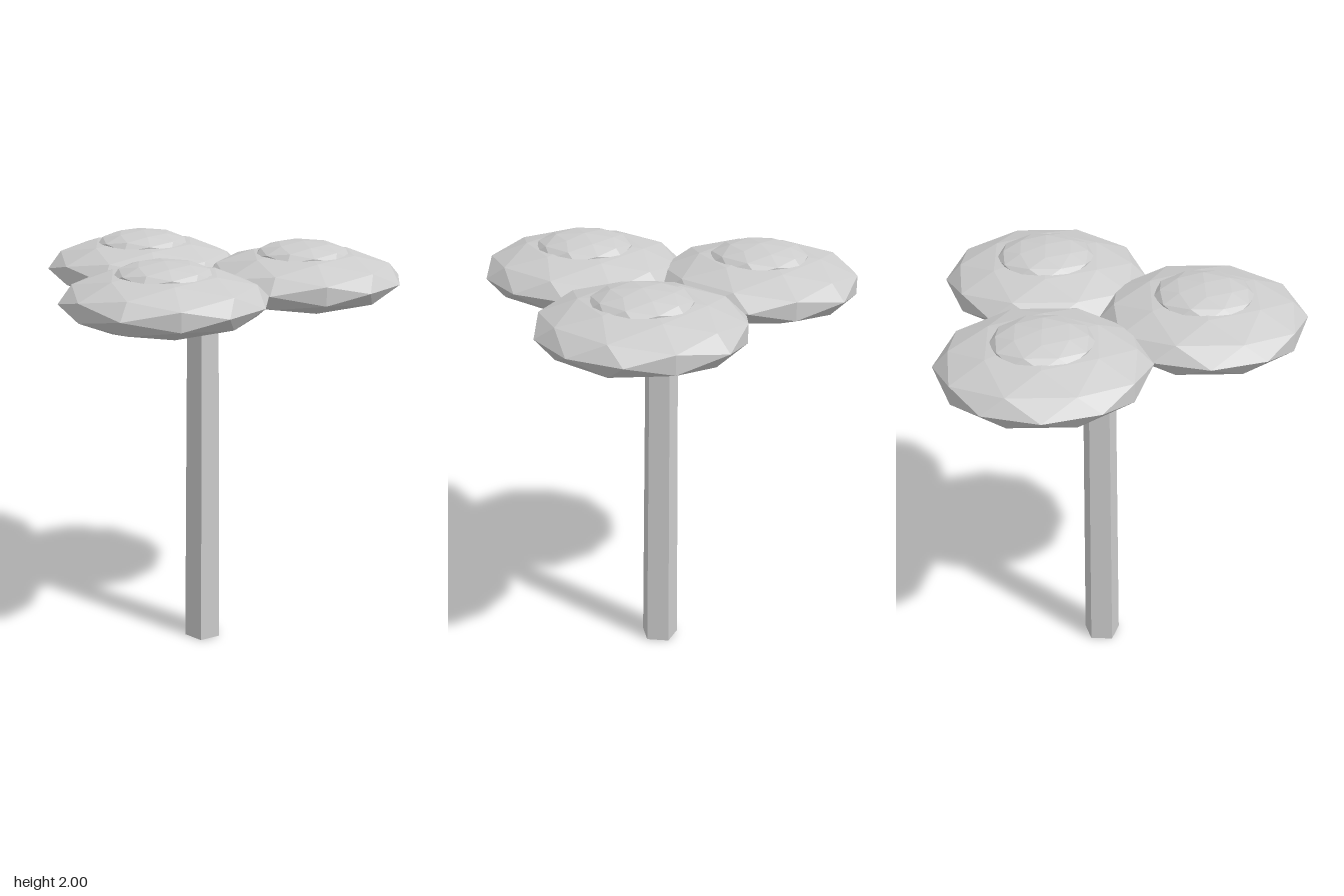
import * as THREE from 'three';

const grey = new THREE.MeshStandardMaterial({ color: 0xcccccc, flatShading: true });
grey.name = 'light grey';

// Flattened low-poly ball, used for the foliage
function foliage(name, radius, height, x, y, z) {
  const geo = new THREE.IcosahedronGeometry(1, 1).scale(radius, height, radius);
  geo.computeVertexNormals();
  const mesh = new THREE.Mesh(geo, grey);
  mesh.name = name;
  mesh.position.set(x, y, z);
  return mesh;
}

export function createModel() {
  const tree = new THREE.Group();
  tree.name = 'tree';

  // Five-sided tapering trunk, standing slightly behind the centre
  const height = 1.8;
  const trunk = new THREE.Mesh(
    new THREE.CylinderGeometry(0.078, 0.091, height, 5, 1, false, THREE.MathUtils.degToRad(16)),
    grey
  );
  trunk.name = 'trunk';
  trunk.position.set(0, height / 2, -0.118);
  tree.add(trunk);

  // Three flat crowns, each with a small cap on top
  const crowns = [['left', 0.412, -0.36], ['right', -0.412, -0.36], ['front', 0, 0.355]];
  for (const [side, x, z] of crowns) {
    const crown = new THREE.Group();
    crown.name = side + 'Crown';
    crown.add(foliage(side + 'Canopy', 0.475, 0.142, x, 1.823, z));
    crown.add(foliage(side + 'Cap', 0.233, 0.07, x, 1.93, z));
    tree.add(crown);
  }
  return tree;
}
